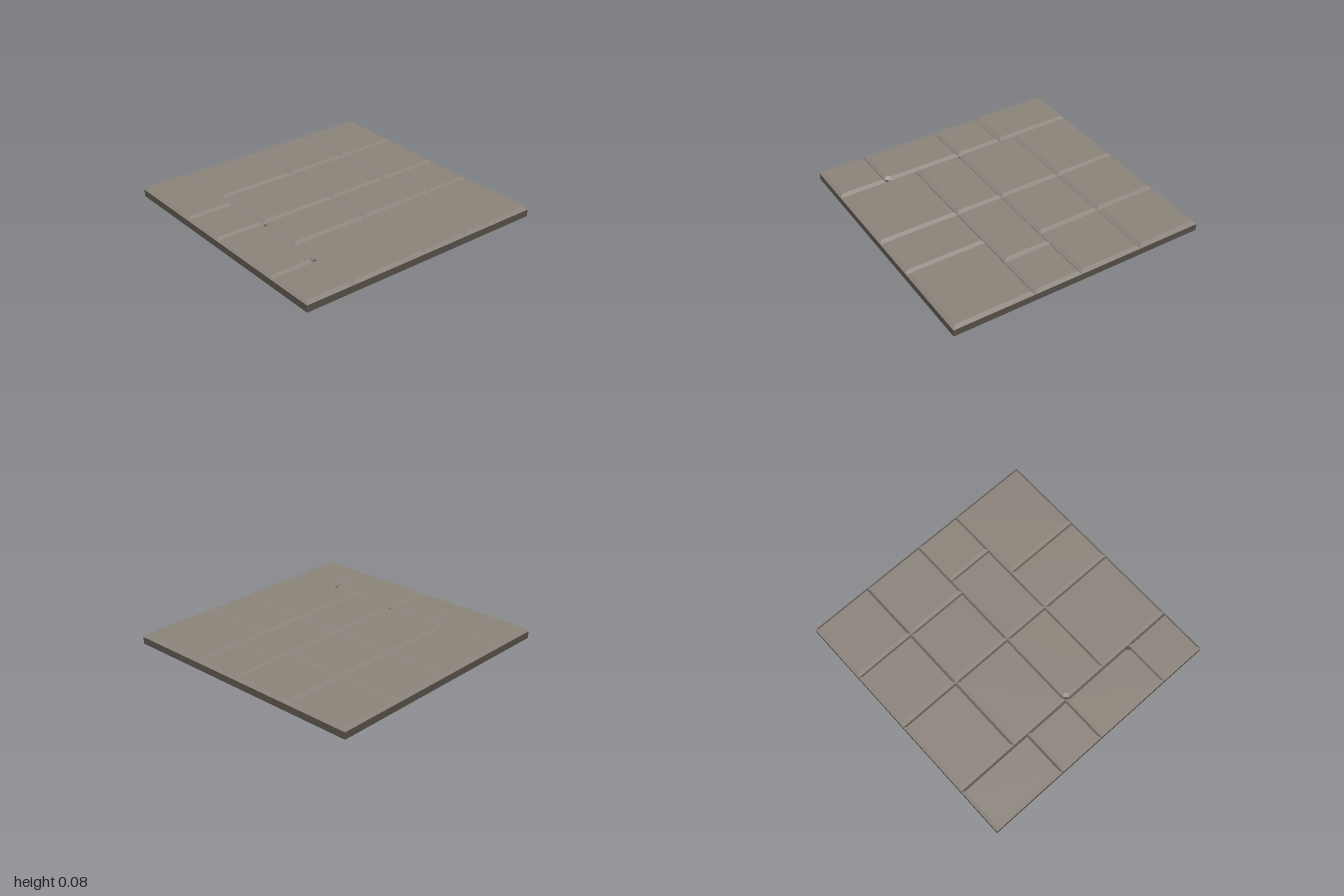
import * as THREE from 'three';

const SLAB_TOP = 0.053;
const BEVEL = 0.022;

// x0, x1, z0, z1, top height, corner cuts [front left, front right, back right, back left]
const TILES = [
  [-1, -0.625, -1, -0.375, 0.08],
  [-1, -0.625, -0.375, 0, 0.077],
  [-1, -0.625, 0, 0.625, 0.077, [0, 0.04, 0, 0]],
  [-1, -0.625, 0.625, 1, 0.078],
  [-0.625, 0, -1, -0.5, 0.078],
  [-0.625, 0, -0.5, 0, 0.077],
  [-0.625, 0, 0, 0.375, 0.076, [0, 0, 0, 0.03]],
  [-0.625, 0, 0.375, 1, 0.075],
  [0, 0.5, -1, -0.5, 0.078],
  [0, 0.5, -0.5, 0, 0.077],
  [0, 0.625, 0, 0.375, 0.077],
  [0, 0.375, 0.375, 1, 0.075],
  [0.5, 1, -1, -0.5, 0.079],
  [0.5, 1, -0.5, 0, 0.077],
  [0.625, 1, 0, 0.375, 0.076],
  [0.375, 1, 0.375, 1, 0.078],
];

// Rectangle outline with optional cut corners, counter-clockwise from above
function outline(x0, x1, z0, z1, y, inset, cuts) {
  const corners = [[x0 + inset, z1 - inset], [x1 - inset, z1 - inset],
    [x1 - inset, z0 + inset], [x0 + inset, z0 + inset]];
  const along = [[1, 0], [0, -1], [-1, 0], [0, 1]];
  const points = [];
  corners.forEach(([x, z], i) => {
    if (!cuts[i]) {
      points.push([x, y, z]);
      return;
    }
    const c = cuts[i] - inset * 0.586;
    const before = along[(i + 3) % 4], after = along[i];
    points.push([x - before[0] * c, y, z - before[1] * c]);
    points.push([x + after[0] * c, y, z + after[1] * c]);
  });
  return points;
}

// Flat top with sloping sides down to the slab
function tileGeometry([x0, x1, z0, z1, height, cuts = [0, 0, 0, 0]]) {
  const low = outline(x0, x1, z0, z1, SLAB_TOP, 0, cuts);
  const high = outline(x0, x1, z0, z1, height, BEVEL, cuts);
  const positions = [];
  const tri = (a, b, c) => positions.push(...a, ...b, ...c);
  const n = low.length;
  for (let i = 0; i < n; i++) {
    const j = (i + 1) % n;
    tri(low[i], low[j], high[j]);
    tri(low[i], high[j], high[i]);
    if (i > 0 && i < n - 1) tri(high[0], high[i], high[i + 1]);
  }
  const geometry = new THREE.BufferGeometry();
  geometry.setAttribute('position', new THREE.Float32BufferAttribute(positions, 3));
  geometry.computeVertexNormals();
  return geometry;
}

export function createModel() {
  const group = new THREE.Group();
  group.name = 'stoneFloor';

  const stone = new THREE.MeshStandardMaterial({ color: 0x8c847b });
  stone.name = 'warm grey stone';
  const base = new THREE.MeshStandardMaterial({ color: 0x565047 });
  base.name = 'dark base stone';

  // Base slab
  const slab = new THREE.Mesh(new THREE.BoxGeometry(2, SLAB_TOP, 2), base);
  slab.name = 'baseSlab';
  slab.position.y = SLAB_TOP / 2;
  group.add(slab);

  // Paving tiles
  const paving = new THREE.Group();
  paving.name = 'pavingTiles';
  TILES.forEach((tile, i) => {
    const mesh = new THREE.Mesh(tileGeometry(tile), stone);
    mesh.name = `pavingTile${i + 1}`;
    paving.add(mesh);
  });
  group.add(paving);

  return group;
}
